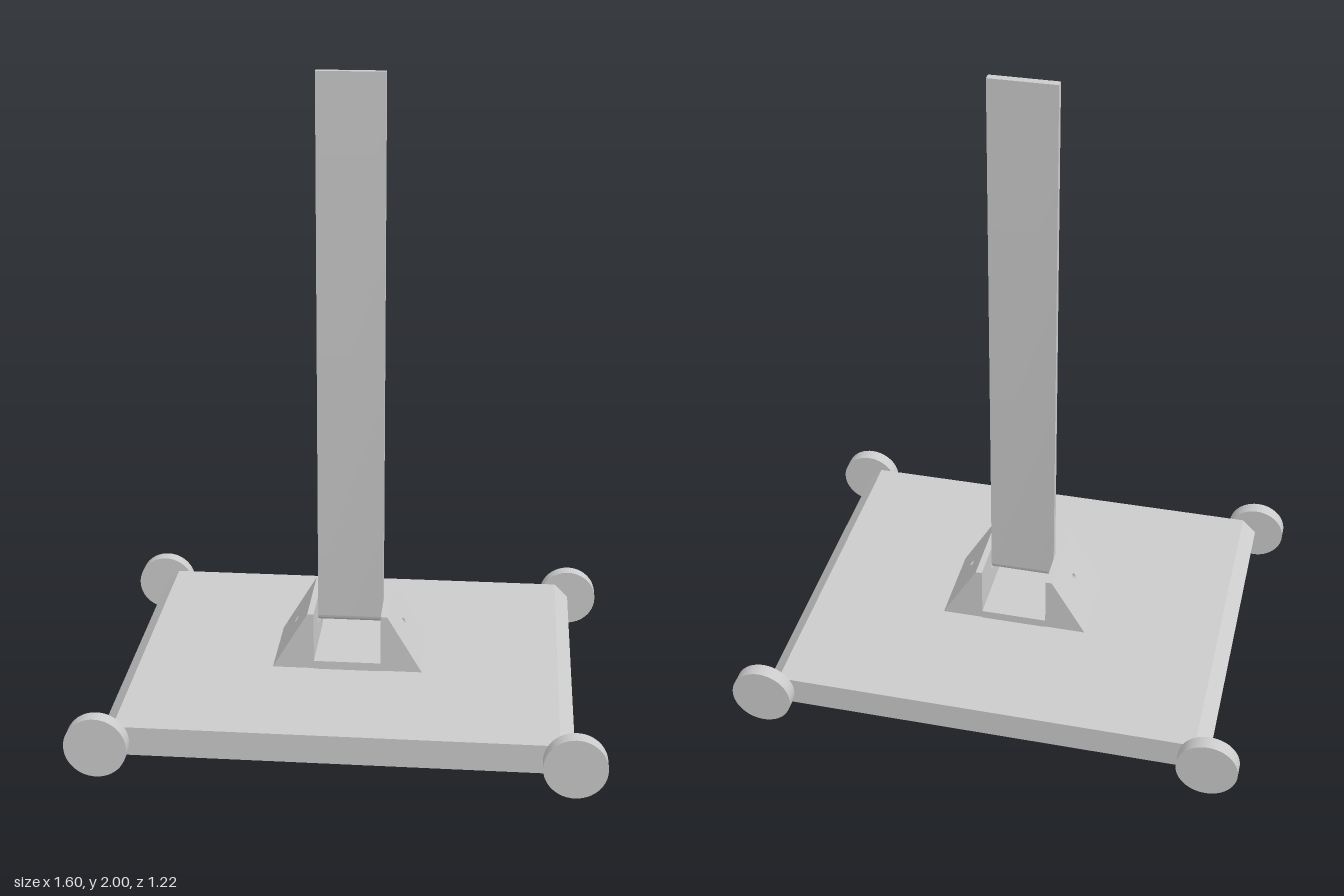
import * as THREE from 'three';
import { toCreasedNormals } from 'three/addons/utils/BufferGeometryUtils.js';

const material = new THREE.MeshStandardMaterial({ color: 0xcccccc });

function addMesh(parent, name, geometry) {
  const mesh = new THREE.Mesh(geometry, material);
  mesh.name = name;
  parent.add(mesh);
  return mesh;
}

const shapeFrom = (points) => new THREE.Shape(points.map(([x, y]) => new THREE.Vector2(x, y)));

// Extrude a (z, y) outline along +x
function extrudeAlongX(shape, depth) {
  return new THREE.ExtrudeGeometry(shape, { depth, bevelEnabled: false, curveSegments: 12 })
    .rotateY(Math.PI / 2);
}

// Bracket cheek: upright inner wall, sloping outer wall, pin hole through both
function cheekGeometry() {
  const inner = 0.105, topY = 0.33, baseY = 0.145;
  const shape = shapeFrom([[-0.14, baseY], [0.14, baseY], [0.14, topY], [-0.14, topY]]);
  const hole = new THREE.Path();
  hole.absarc(0, 0.25, 0.012, 0, Math.PI * 2, true);
  shape.holes.push(hole);
  const geometry = extrudeAlongX(shape, 1);
  const pos = geometry.attributes.position;
  for (let i = 0; i < pos.count; i++) {
    const outer = 0.125 + 0.11 * (topY - pos.getY(i)) / (topY - baseY);
    pos.setX(i, pos.getX(i) > 0.5 ? outer : inner);
  }
  geometry.computeVertexNormals();
  return toCreasedNormals(geometry, 0.6);
}

export function createModel() {
  const model = new THREE.Group();
  model.name = 'wheeledStand';

  // Platform with pointed side edges
  const profile = shapeFrom([
    [-0.66, 0.052], [0.66, 0.052], [0.705, 0.098],
    [0.66, 0.143], [-0.66, 0.143], [-0.705, 0.098],
  ]);
  const platform = new THREE.ExtrudeGeometry(profile, { depth: 1.13, bevelEnabled: false });
  addMesh(model, 'platform', platform.translate(0, 0, -0.565));

  // Four disc wheels at the corners
  const wheelGeometry = new THREE.CylinderGeometry(0.0945, 0.0945, 0.045, 48).rotateX(Math.PI / 2);
  for (const sx of [-1, 1]) {
    for (const sz of [-1, 1]) {
      const name = (sz > 0 ? 'front' : 'back') + (sx > 0 ? 'Left' : 'Right') + 'Wheel';
      addMesh(model, name, wheelGeometry).position.set(sx * 0.705, 0.0945, sz * 0.5875);
    }
  }

  // Bracket: two cheeks joined by a thin floor
  const bracket = new THREE.Group();
  bracket.name = 'bracket';
  model.add(bracket);
  const cheek = cheekGeometry();
  addMesh(bracket, 'leftCheek', cheek);
  addMesh(bracket, 'rightCheek', cheek).rotation.y = Math.PI;
  addMesh(bracket, 'bracketFloor', new THREE.BoxGeometry(0.21, 0.027, 0.28)).position.y = 0.1565;

  // Tall thin mast with a rounded lower edge
  const half = 0.0125;
  const mastShape = new THREE.Shape();
  mastShape.moveTo(half, 2);
  mastShape.lineTo(-half, 2);
  mastShape.lineTo(-half, 0.273);
  mastShape.absellipse(0, 0.273, half, 0.021, Math.PI, Math.PI * 2, false);
  mastShape.closePath();
  const mast = extrudeAlongX(mastShape, 0.208).translate(-0.104, 0, 0);
  addMesh(model, 'mast', toCreasedNormals(mast, 0.6));

  return model;
}
